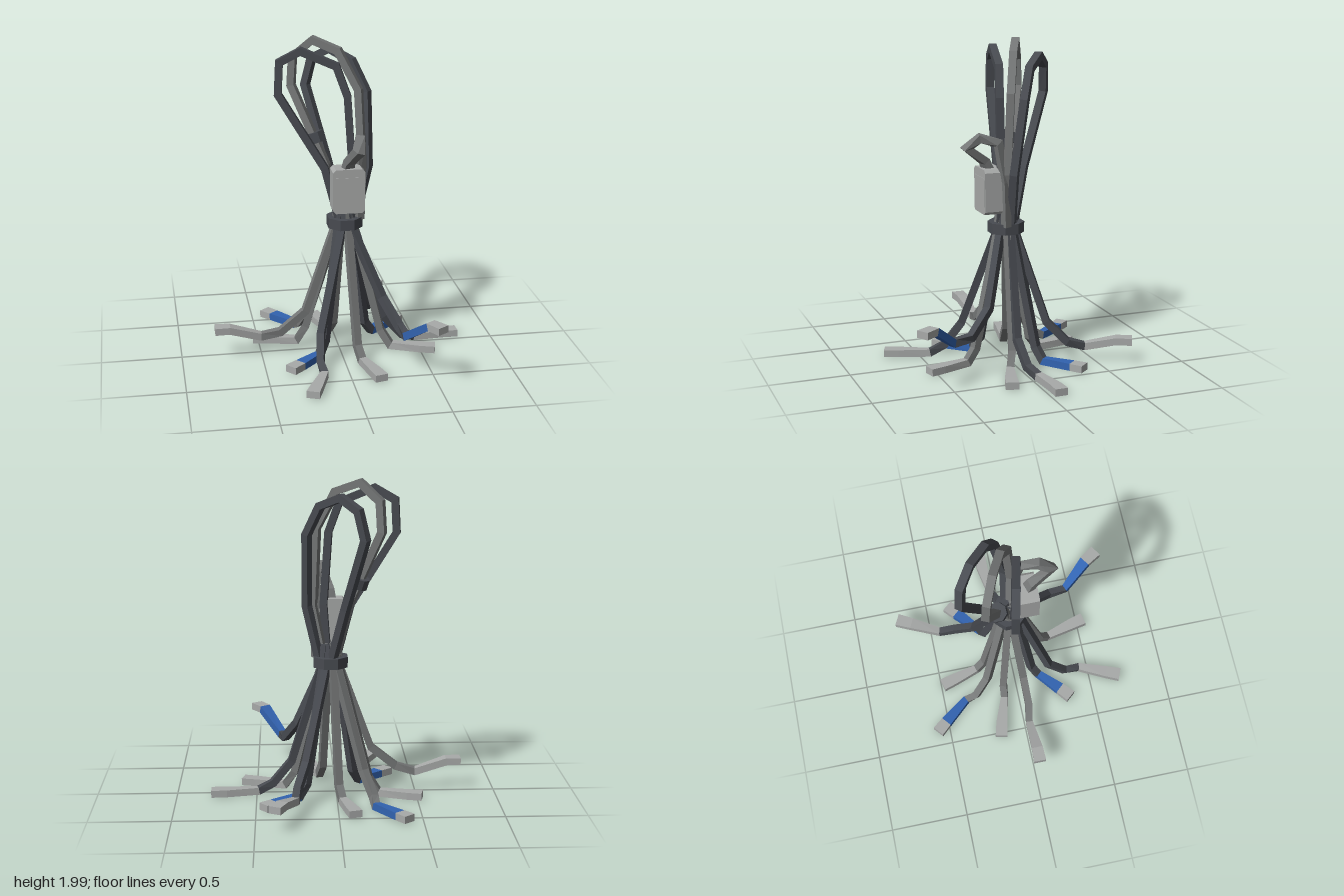
import * as THREE from 'three';

const mat = (name, color) => {
  const m = new THREE.MeshStandardMaterial({ color });
  m.name = name;
  return m;
};
const V = (p) => new THREE.Vector3(...p);

// Mitred rectangular cable through points; widths per point, one material per segment
function cable(name, points, side, width, materials, height = 0.045) {
  const pts = points.map(V), n = pts.length;
  const rings = pts.map((p, i) => {
    const a = pts[Math.max(i - 1, 0)], b = pts[Math.min(i + 1, n - 1)];
    const into = (i ? p.clone().sub(a) : b.clone().sub(p)).normalize();
    const out = (i < n - 1 ? b.clone().sub(p) : into.clone()).normalize();
    const t = into.clone().add(out).normalize();
    const s = side.clone().addScaledVector(t, -side.dot(t)).normalize();
    const u = t.clone().cross(s).multiplyScalar(height / 2 / Math.max(0.65, t.dot(into)));
    s.multiplyScalar((Array.isArray(width) ? width[i] : width) / 2);
    return [[1, 1], [-1, 1], [-1, -1], [1, -1]].map(([c, d]) =>
      p.clone().addScaledVector(s, c).addScaledVector(u, d));
  });
  const out = [];
  const quad = (a, b, c, d) => out.push(a, b, c, a, c, d);
  const geo = new THREE.BufferGeometry();
  const used = [...new Set(materials)];
  for (let i = 0; i < n - 1; i++) {
    const start = out.length, a = rings[i], b = rings[i + 1];
    for (let k = 0; k < 4; k++) quad(a[k], a[(k + 1) % 4], b[(k + 1) % 4], b[k]);
    if (i === 0) quad(a[3], a[2], a[1], a[0]);
    if (i === n - 2) quad(...b);
    geo.addGroup(start, out.length - start, used.indexOf(materials[Math.min(i, materials.length - 1)]));
  }
  geo.setFromPoints(out);
  geo.computeVertexNormals();
  const mesh = new THREE.Mesh(geo, used);
  mesh.name = name;
  return mesh;
}

export function createModel() {
  const group = new THREE.Group();
  const dark = mat('dark cable', 0x484b51);
  const grey = mat('grey cable', 0x757777);
  const light = mat('light connector', 0xa8aaa9);
  const blue = mat('blue connector', 0x3263b0);

  // Spread legs: cable colour, connector colour, knees, then three connector points
  const F = 0.024;
  const legs = [
    ['rightLeg', dark, light, [[0.28, 0.2, 0.02], [0.4, 0.06, 0]], [[0.49, F, -0.035], [0.69, F, -0.06], [0.785, F, -0.062]]],
    ['rightFrontLeg', grey, light, [[0.26, 0.12, 0.045]], [[0.32, F, 0.08], [0.5, F, 0.145], [0.59, F, 0.17]]],
    ['frontRaisedLeg', dark, blue, [[0.24, 0.4, 0.19], [0.32, 0.26, 0.33]], [[0.34, 0.245, 0.45], [0.455, 0.375, 0.61], [0.51, 0.375, 0.695]]],
    ['frontLeg', grey, light, [[0.08, 0.1, 0.22]], [[0.1, F, 0.28], [0.15, F, 0.46], [0.172, F, 0.55]]],
    ['leftFrontLongLeg', dark, light, [[-0.15, 0.2, 0.23], [-0.17, 0.06, 0.34]], [[-0.16, F, 0.44], [-0.235, F, 0.62], [-0.27, F, 0.705]]],
    ['leftFrontLeg', dark, blue, [[-0.11, 0.1, 0.12]], [[-0.15, F, 0.16], [-0.285, F, 0.285], [-0.355, F, 0.345]]],
    ['leftRaisedLeg', grey, light, [[-0.22, 0.28, 0.04], [-0.38, 0.15, 0.045]], [[-0.5, 0.12, 0.025], [-0.7, 0.185, 0.035], [-0.79, 0.185, 0.035]]],
    ['leftBackLeg', grey, light, [[-0.2, 0.12, -0.09]], [[-0.26, F, -0.095], [-0.44, F, -0.15], [-0.53, F, -0.17]]],
    ['backLeftLeg', grey, blue, [[-0.16, 0.2, -0.19], [-0.22, 0.06, -0.28]], [[-0.23, F, -0.35], [-0.36, F, -0.515], [-0.415, F, -0.58]]],
    ['backLeg', grey, light, [[-0.01, 0.1, -0.18]], [[-0.03, F, -0.24], [-0.075, F, -0.4], [-0.1, F, -0.49]]],
    ['backRaisedLeg', dark, light, [[0.19, 0.26, -0.21], [0.245, 0.13, -0.33]], [[0.26, 0.095, -0.44], [0.34, 0.135, -0.62], [0.385, 0.135, -0.71]]],
    ['rightBackLeg', dark, blue, [[0.19, 0.1, -0.14]], [[0.24, F, -0.17], [0.39, F, -0.3], [0.455, F, -0.355]]],
  ];
  for (const [name, wire, plug, knees, foot] of legs) {
    const dir = new THREE.Vector3(foot[0][0] - 0.035, 0, foot[0][2]).normalize();
    const run = new THREE.Vector3(foot[2][0] - foot[0][0], 0, foot[2][2] - foot[0][2]).normalize();
    const side = dir.add(run).normalize().cross(new THREE.Vector3(0, 1, 0));
    const a = Math.atan2(foot[0][2], foot[0][0] - 0.035);
    const at = (r, y) => [0.035 + r * Math.cos(a), y, r * Math.sin(a)];
    const points = [at(0.04, 0.96), at(0.055, 0.83), ...knees, ...foot];
    const n = points.length;
    const widths = points.map((_, i) => (i < n - 2 ? 0.046 : i === n - 2 ? 0.073 : 0.08));
    const mats = points.slice(1).map((_, i) => (i < n - 3 ? wire : i === n - 3 ? plug : light));
    group.add(cable(name, points, side, widths, mats));
  }

  // Tall loops above the band
  const loops = [
    ['leftLoop', dark, [-0.18, 0, 0.98], [[0.0, 0.85, 0.02], [-0.09, 1.2, 0.01], [-0.365, 1.66, -0.045], [-0.355, 1.855, -0.045],
      [-0.23, 1.925, -0.015], [-0.02, 1.835, 0.025], [0.045, 1.65, 0.045], [0.075, 1.2, 0.045], [0.05, 0.85, 0.04]]],
    ['middleLoop', grey, [-0.42, 0, 0.9], [[0.01, 0.85, -0.02], [-0.07, 1.2, -0.06], [-0.265, 1.68, -0.195], [-0.255, 1.86, -0.185],
      [-0.14, 1.968, -0.13], [0.005, 1.91, -0.06], [0.12, 1.68, 0.0], [0.14, 1.2, 0.03], [0.07, 0.85, 0.01]]],
    ['backLoop', dark, [-0.63, 0, 0.77], [[0.03, 0.85, -0.05], [-0.05, 1.2, -0.15], [-0.16, 1.65, -0.325], [-0.12, 1.82, -0.31],
      [-0.02, 1.89, -0.235], [0.1, 1.83, -0.13], [0.18, 1.65, -0.065], [0.18, 1.2, 0.0], [0.1, 0.85, -0.01]]],
  ];
  for (const [name, m, side, pts] of loops) group.add(cable(name, pts, V(side), 0.048, [m]));

  // Octagonal ties
  const tie = (name, r, h, pos, axis) => {
    const geo = new THREE.CylinderGeometry(r, r, h, 8, 1).rotateY(Math.PI / 8).toNonIndexed();
    geo.computeVertexNormals();
    const mesh = new THREE.Mesh(geo, dark);
    mesh.name = name;
    mesh.position.set(...pos);
    mesh.quaternion.setFromUnitVectors(new THREE.Vector3(0, 1, 0), V(axis).normalize());
    group.add(mesh);
  };
  tie('bundleTie', 0.114, 0.066, [0.035, 0.852, 0], [0, 1, 0]);
  tie('loopTie', 0.06, 0.065, [-0.135, 1.365, -0.105], [-0.3, 1, -0.2]);

  // Power box with clipped corners and a thin front panel
  const c = 0.018, w = 0.098, y0 = 0.953, y1 = 1.23;
  const outline = new THREE.Shape([[-w + c, y0], [w - c, y0], [w, y0 + c], [w, y1 - c], [w - c, y1],
    [-w + c, y1], [-w, y1 - c], [-w, y0 + c]].map(([x, y]) => new THREE.Vector2(x, y)));
  const box = new THREE.Mesh(new THREE.ExtrudeGeometry(outline, { depth: 0.12, bevelEnabled: false }), light);
  box.name = 'powerBox';
  box.position.set(0.035, 0, 0.05);
  const panel = new THREE.Mesh(new THREE.BoxGeometry(0.162, 0.178, 0.004), light);
  panel.name = 'frontPanel';
  panel.position.set(0.035, 1.09, 0.171);
  group.add(box, panel);

  // Bent lead from the box back into the bundle
  group.add(cable('boxLead', [[0.035, 1.2, 0.11], [0.04, 1.27, 0.14], [0.075, 1.365, 0.265],
    [0.095, 1.425, 0.19], [0.12, 1.39, 0.08], [0.13, 1.15, 0.04], [0.125, 0.87, 0.03]],
    new THREE.Vector3(0.95, 0, -0.3), [0.075, 0.06, 0.05, 0.055, 0.05, 0.046, 0.046], [grey]));

  return group;
}
